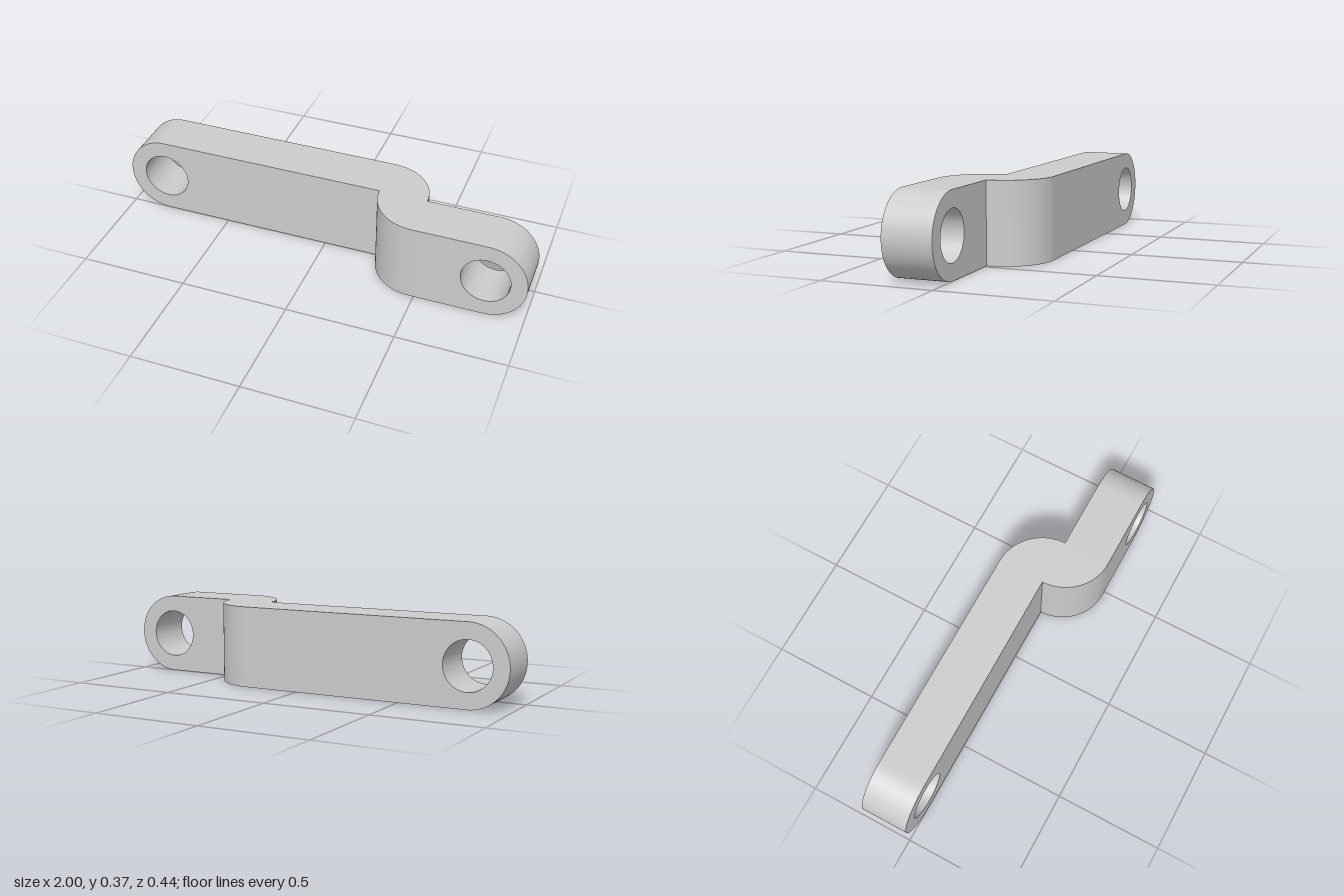
import * as THREE from 'three';
import { toCreasedNormals } from 'three/addons/utils/BufferGeometryUtils.js';

const R = 0.185;               // half the height, radius of the rounded ends
const HOLE = 0.111;            // bore radius
const T = 0.222;               // bar thickness and bend radius
const EYE = 1 - R;             // bore centre distance from the middle
const BEND_START = 0.259;
const BEND_END = BEND_START + T;

// Removes the faces lying on a joint plane, so the parts meet as one continuous skin
function openJoints(geometry, joints) {
  const p = geometry.attributes.position;
  const kept = [];
  for (let i = 0; i < p.count; i += 3) {
    const onJoint = joints.some(x => [0, 1, 2].every(k => Math.abs(p.getX(i + k) - x) < 1e-5));
    if (onJoint) continue;
    for (let k = 0; k < 3; k++) kept.push(p.getX(i + k), p.getY(i + k), p.getZ(i + k));
  }
  const result = new THREE.BufferGeometry();
  result.setAttribute('position', new THREE.Float32BufferAttribute(kept, 3));
  return toCreasedNormals(result, 0.6);
}

// Flat bar from a joint to a rounded end with a bore; side is -1 or +1 along x
function armGeometry(side, joint, z) {
  const shape = new THREE.Shape();
  shape.moveTo(joint, 0);
  shape.lineTo(side * EYE, 0);
  shape.absarc(side * EYE, R, R, -Math.PI / 2, Math.PI / 2, side < 0);
  shape.lineTo(joint, 2 * R);
  shape.closePath();
  // The bore winds against the outline, so its wall faces inwards on both arms
  const bore = new THREE.Path();
  bore.absarc(side * EYE, R, HOLE, 0, Math.PI * 2, side > 0);
  shape.holes.push(bore);
  const geometry = new THREE.ExtrudeGeometry(shape, { depth: T, bevelEnabled: false, curveSegments: 40 });
  geometry.translate(0, 0, z);
  return openJoints(geometry, [joint]);
}

// S-shaped step made of two quarter rounds, drawn in plan and raised to full height
function bendGeometry() {
  const plan = new THREE.Shape();
  plan.moveTo(BEND_START, T);
  plan.absarc(BEND_START, 0, T, Math.PI / 2, 0, true);
  plan.lineTo(BEND_END, -T);
  plan.absarc(BEND_END, 0, T, -Math.PI / 2, -Math.PI, true);
  plan.closePath();
  const geometry = new THREE.ExtrudeGeometry(plan, { depth: 2 * R, bevelEnabled: false, curveSegments: 24 });
  geometry.rotateX(-Math.PI / 2);
  return openJoints(geometry, [BEND_START, BEND_END]);
}

export function createModel() {
  const group = new THREE.Group();
  group.name = 'offsetLink';
  const material = new THREE.MeshStandardMaterial({ color: 0xcccccc });
  const add = (name, geometry) => {
    const mesh = new THREE.Mesh(geometry, material);
    mesh.name = name;
    group.add(mesh);
  };
  add('longArm', armGeometry(-1, BEND_START, -T));
  add('bend', bendGeometry());
  add('shortArm', armGeometry(1, BEND_END, 0));
  return group;
}
